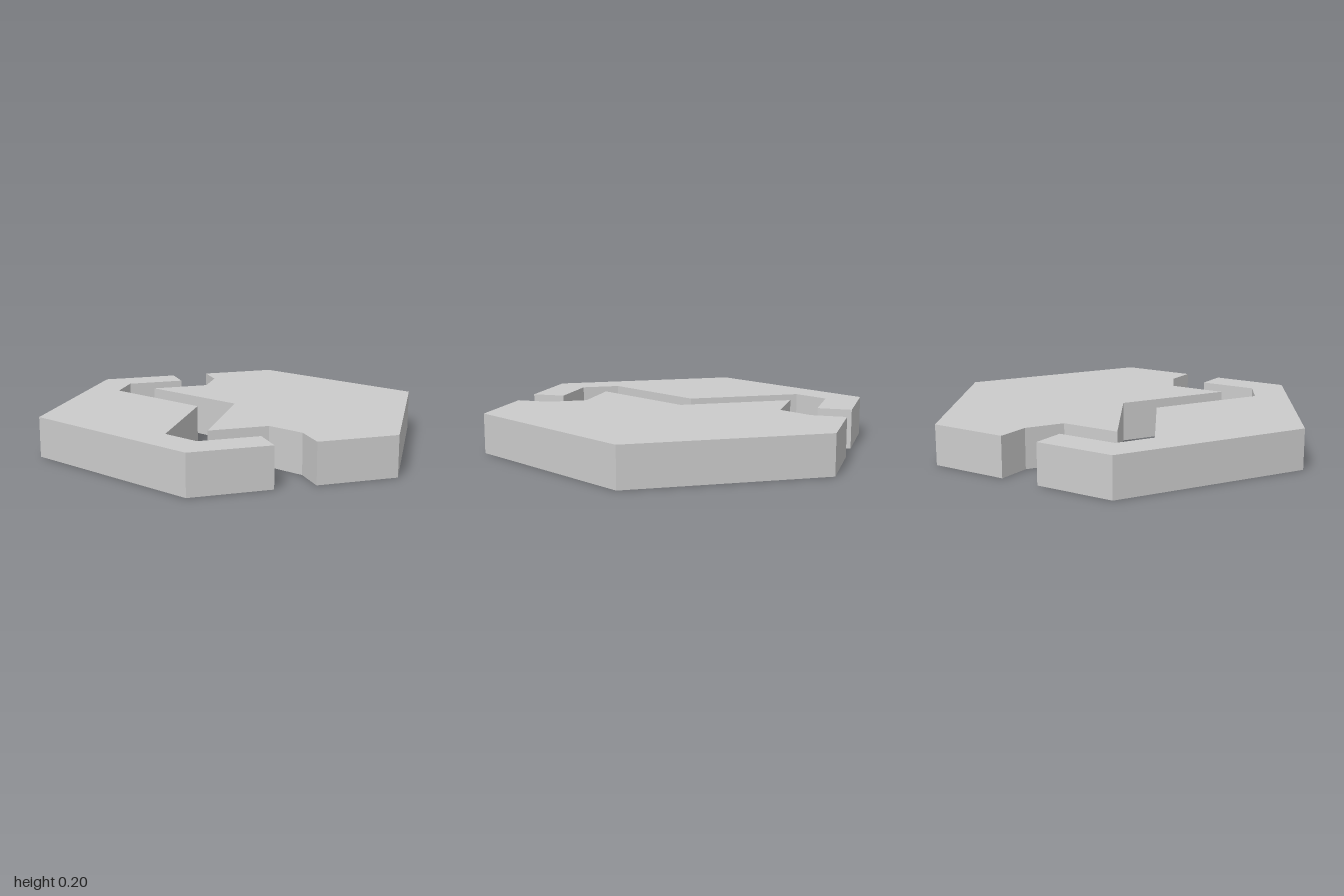
import * as THREE from 'three';

const HEIGHT = 0.2;
const EDGE = 0.866;  // half depth of the hexagon
const LIP = 0.693;   // inner side of the hooked arms
const NOTCH = 0.52;  // depth where the interlocking edge turns

const material = new THREE.MeshStandardMaterial({ color: 0xcccccc, flatShading: true });

// Flat plate from half an outline; both ends lie on the symmetry axis (z = 0)
function plate(name, half) {
  const mirrored = half.slice(1, -1).reverse().map(([x, z]) => [x, -z]);
  const outline = [...half, ...mirrored].map(([x, z]) => new THREE.Vector2(x, z));
  const geometry = new THREE.ExtrudeGeometry(new THREE.Shape(outline), {
    depth: HEIGHT,
    bevelEnabled: false,
  });
  geometry.rotateX(-Math.PI / 2);
  const mesh = new THREE.Mesh(geometry, material);
  mesh.name = name;
  return mesh;
}

export function createModel() {
  const group = new THREE.Group();
  group.name = 'splitHexagon';

  // Wedge with two hooked arms
  group.add(plate('hookedPlate', [
    [-1, 0], [-0.5, EDGE], [-0.1, EDGE], [-0.1, LIP],
    [-0.4, LIP], [-0.5, NOTCH], [-0.2, 0],
  ]));

  // Larger plate with two pointed prongs around a V notch
  group.add(plate('prongedPlate', [
    [1, 0], [0.5, EDGE], [0.1, EDGE], [0.1, LIP],
    [0, NOTCH], [-0.3, NOTCH], [0, 0],
  ]));

  return group;
}
